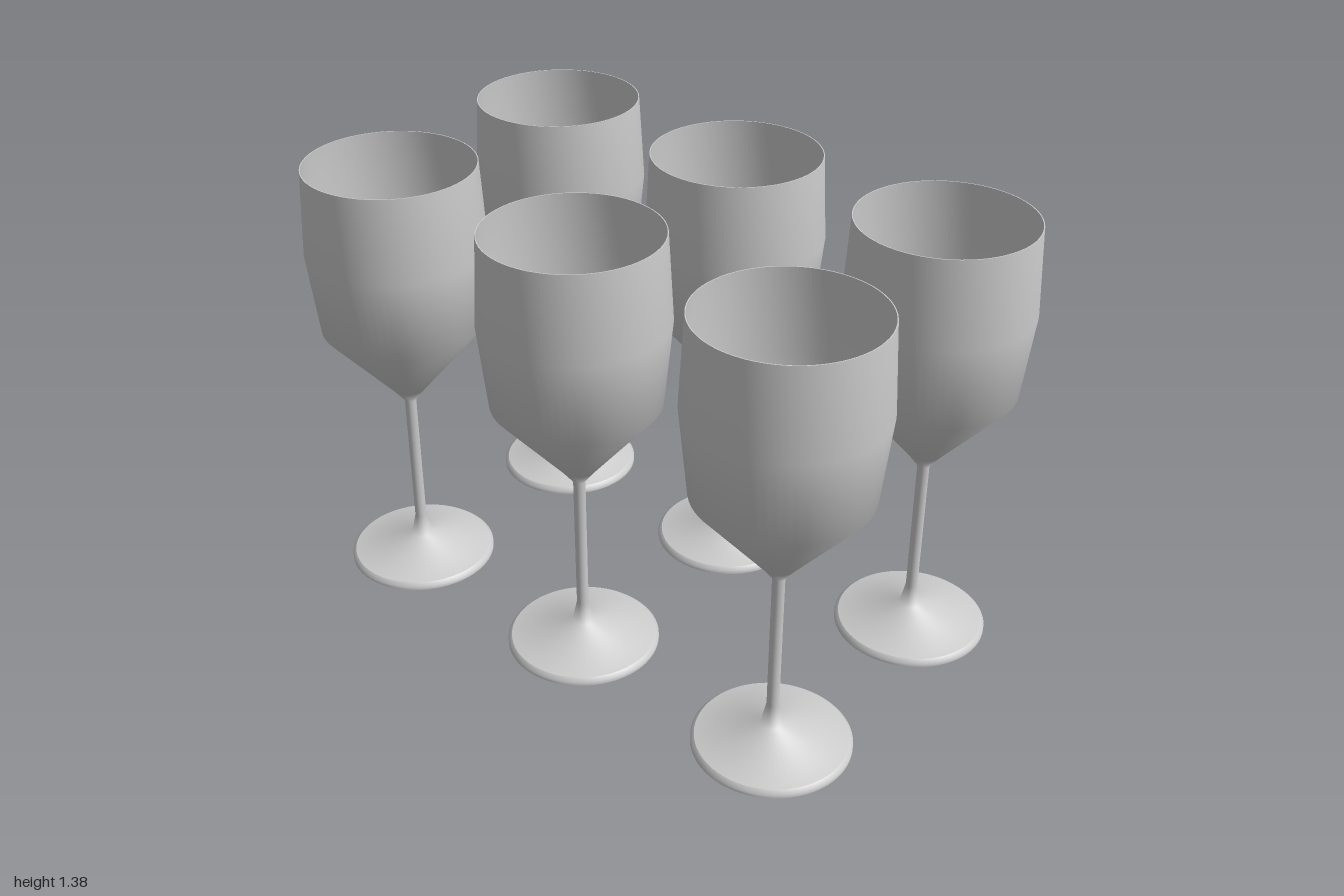
import * as THREE from 'three';

const material = new THREE.MeshStandardMaterial({ color: 0xcccccc, side: THREE.DoubleSide });
const SEGMENTS = 64;

// Profiles are [radius, height] pairs
function lathe(name, profile) {
  const points = profile.map(([r, y]) => new THREE.Vector2(r, y));
  const mesh = new THREE.Mesh(new THREE.LatheGeometry(points, SEGMENTS), material);
  mesh.name = name;
  return mesh;
}

function createGlass() {
  const glass = new THREE.Group();
  glass.name = 'wineGlass';
  glass.add(
    // Flat underside and thin rim of the foot
    lathe('footUnderside', [[0, 0], [0.233, 0]]),
    lathe('footRim', [[0.233, 0], [0.233, 0.012], [0.222, 0.022]]),
    // Sloping foot, flared collar, stem and outer bowl in one smooth sweep
    lathe('footStemAndBowl', [
      [0.222, 0.022], [0.033, 0.07], [0.018, 0.138], [0.018, 0.58],
      [0.052, 0.625], [0.249, 0.857], [0.275, 1.115], [0.26, 1.38],
    ]),
    // Thin lip and bowl lining, running down to a point
    lathe('lip', [[0.26, 1.38], [0.257, 1.38]]),
    lathe('bowlInside', [[0.257, 1.38], [0.272, 1.115], [0.246, 0.859], [0.05, 0.628], [0, 0.583]]),
  );
  return glass;
}

export function createModel() {
  const model = new THREE.Group();
  model.name = 'wineGlassSet';
  // Two rows of three
  for (const z of [-0.361, 0.361]) {
    for (const x of [-0.725, 0, 0.725]) {
      const glass = createGlass();
      glass.position.set(x, 0, z);
      model.add(glass);
    }
  }
  return model;
}
